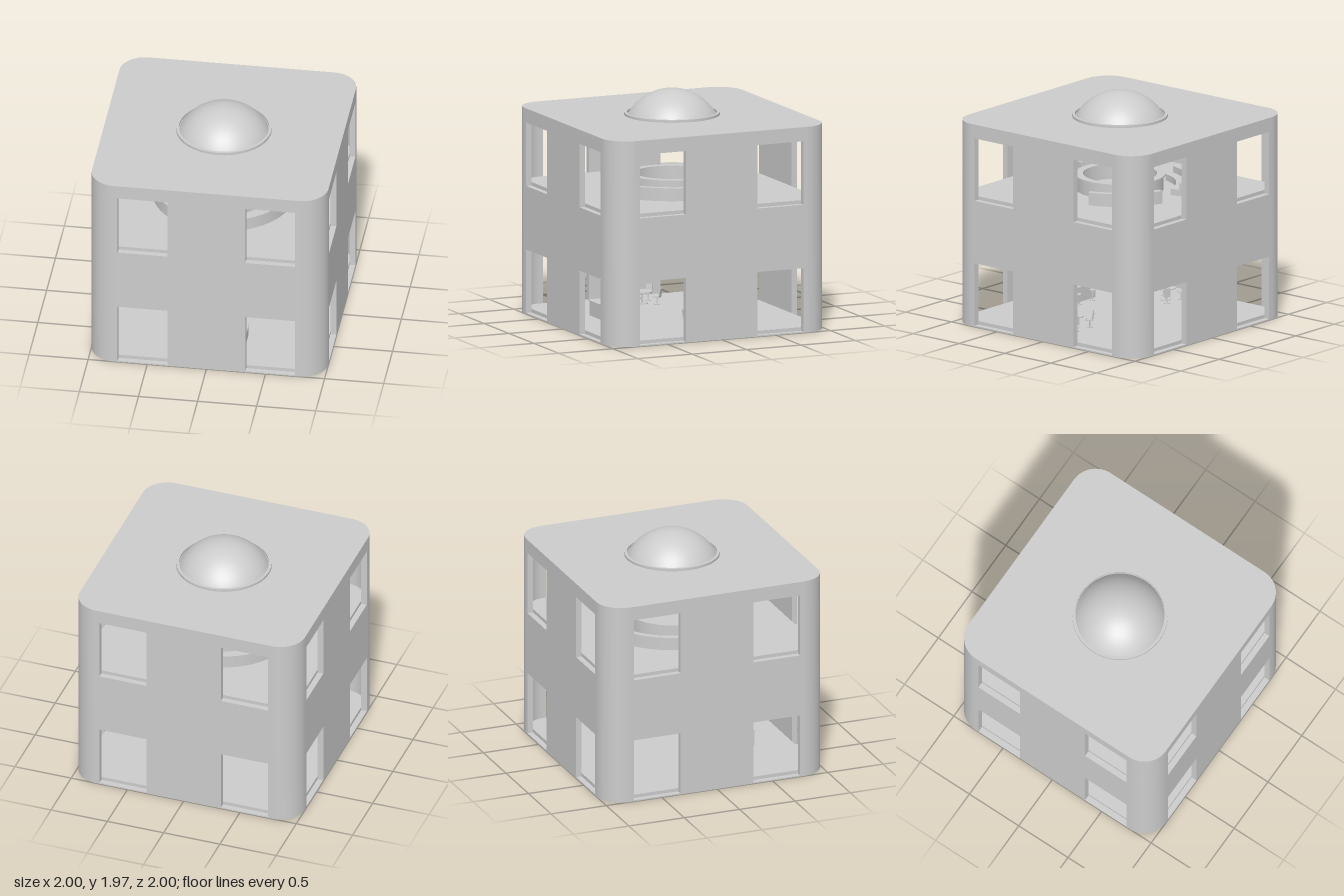
import * as THREE from 'three';
import { toCreasedNormals } from 'three/addons/utils/BufferGeometryUtils.js';

const WALL = 0.05, CORNER = 0.22, ROOF = 1.75, CEILING = 1.71;
const FLOOR = 0.04, UPPER = 1.12;
const mat = new THREE.MeshStandardMaterial({ color: 0xcccccc });
const thin = new THREE.MeshStandardMaterial({ color: 0xcccccc, side: THREE.DoubleSide });

function add(parent, name, geo, x = 0, y = 0, z = 0, material = mat) {
  const m = new THREE.Mesh(geo, material);
  m.name = name;
  m.position.set(x, y, z);
  parent.add(m);
  return m;
}

const box = (w, h, d) => new THREE.BoxGeometry(w, h, d);
const disc = (r, h, n = 24, r2 = r) => new THREE.CylinderGeometry(r, r2, h, n);

// Floor-plan shape pulled up from height y0 to y1
function raise(shape, y0, y1, segments = 16) {
  const g = new THREE.ExtrudeGeometry(shape, { depth: y1 - y0, bevelEnabled: false, curveSegments: segments });
  g.rotateX(-Math.PI / 2).translate(0, y0, 0);
  return toCreasedNormals(g, 0.6);
}

function roundedSquare(half, r) {
  const s = new THREE.Shape(), c = half - r;
  s.absarc(c, c, r, 0, Math.PI / 2);
  s.absarc(-c, c, r, Math.PI / 2, Math.PI);
  s.absarc(-c, -c, r, Math.PI, Math.PI * 1.5);
  s.absarc(c, -c, r, Math.PI * 1.5, Math.PI * 2);
  s.closePath();
  return s;
}

function arcBand(inner, outer, a0, a1) {
  const s = new THREE.Shape();
  s.absarc(0, 0, outer, a0, a1, false);
  s.absarc(0, 0, inner, a1, a0, true);
  s.closePath();
  return s;
}

function ring(inner, outer) {
  const s = new THREE.Shape().absarc(0, 0, outer, 0, Math.PI * 2);
  s.holes.push(new THREE.Path().absarc(0, 0, inner, 0, Math.PI * 2, true));
  return s;
}

// Four flat walls with window openings, joined by rounded corners
function buildWalls(group) {
  const c = 1 - CORNER;
  const panel = new THREE.Shape([[-c, 0], [c, 0], [c, CEILING], [-c, CEILING]].map(p => new THREE.Vector2(...p)));
  for (const x of [-0.75, 0.33]) for (const y of [0.01, 1.09]) {
    panel.holes.push(new THREE.Path([[x, y], [x, y + 0.54], [x + 0.42, y + 0.54], [x + 0.42, y]]
      .map(p => new THREE.Vector2(...p))));
  }
  const wallGeo = new THREE.ExtrudeGeometry(panel, { depth: WALL, bevelEnabled: false });
  wallGeo.translate(0, 0, 1 - WALL);
  const cornerGeo = raise(arcBand(CORNER - WALL, CORNER, 0, Math.PI / 2), 0, CEILING, 12);
  cornerGeo.translate(c, 0, -c);
  for (let i = 0; i < 4; i++) {
    add(group, 'windowWall', wallGeo).rotation.y = i * Math.PI / 2;
    add(group, 'roundedCorner', cornerGeo).rotation.y = i * Math.PI / 2;
  }
}

// Swivel chair facing its local -z
function buildChair() {
  const g = new THREE.Group();
  g.name = 'chair';
  add(g, 'chairBase', disc(0.026, 0.006, 16), 0, 0.003);
  add(g, 'chairStem', disc(0.005, 0.06, 8), 0, 0.033);
  add(g, 'chairSeat', box(0.055, 0.01, 0.055), 0, 0.066);
  const back = add(g, 'chairBack', box(0.055, 0.075, 0.008), 0, 0.102, 0.03);
  back.rotation.x = 0.14;
  return g;
}

// Round table with four chairs on the diagonals
function buildDiningSet(x) {
  const g = new THREE.Group();
  g.name = 'diningSet';
  g.position.set(x, FLOOR, 0);
  add(g, 'tableTop', disc(0.083, 0.007, 32), 0, 0.102);
  add(g, 'tableStem', disc(0.006, 0.1, 10), 0, 0.05);
  add(g, 'tableBase', disc(0.045, 0.006, 24), 0, 0.003);
  for (let i = 0; i < 4; i++) {
    const a = Math.PI / 4 + i * Math.PI / 2, chair = buildChair();
    chair.position.set(Math.sin(a) * 0.13, 0, Math.cos(a) * 0.13);
    chair.rotation.y = a;
    g.add(chair);
  }
  return g;
}

// Kitchen island with stools and hanging lamps
function buildKitchen() {
  const g = new THREE.Group();
  g.name = 'kitchen';
  add(g, 'islandBody', box(0.56, 0.124, 0.13), 0, 0.102, 0.565);
  add(g, 'islandTop', box(0.58, 0.008, 0.15), 0, 0.168, 0.565);
  for (const x of [-0.18, 0, 0.18]) {
    add(g, 'stoolSeat', disc(0.026, 0.012, 20), x, 0.13, 0.45);
    add(g, 'stoolStem', disc(0.005, 0.09, 8), x, 0.085, 0.45);
    add(g, 'stoolBase', disc(0.022, 0.006, 20), x, 0.043, 0.45);
    const shade = new THREE.SphereGeometry(0.024, 20, 8, 0, Math.PI * 2, 0, Math.PI / 2);
    add(g, 'lampShade', shade, x, 0.354, 0.567, thin);
    add(g, 'lampCord', disc(0.001, 0.26, 6), x, 0.5, 0.567);
  }
  return g;
}

// Four curved sofas around a round counter
function buildLounge() {
  const g = new THREE.Group();
  g.name = 'lounge';
  const gap = 0.24;
  const seat = raise(arcBand(0.47, 0.55, gap, Math.PI / 2 - gap), UPPER, 1.175);
  const back = raise(arcBand(0.55, 0.6, gap, Math.PI / 2 - gap), UPPER, 1.23);
  for (let i = 0; i < 4; i++) {
    add(g, 'sofaSeat', seat).rotation.y = i * Math.PI / 2;
    add(g, 'sofaBack', back).rotation.y = i * Math.PI / 2;
  }
  add(g, 'counterBody', raise(ring(0.33, 0.365), UPPER, 1.243, 24));
  add(g, 'counterTop', raise(ring(0.31, 0.38), 1.243, 1.255, 24));
  return g;
}

export function createModel() {
  const model = new THREE.Group();
  model.name = 'pavilion';
  buildWalls(model);

  // Floors and roof slab with a round skylight opening
  const inner = () => roundedSquare(1 - WALL, CORNER - WALL);
  add(model, 'groundFloor', raise(inner(), 0, FLOOR));
  add(model, 'upperFloor', raise(inner(), 0.63, UPPER));
  const roof = roundedSquare(1, CORNER);
  roof.holes.push(new THREE.Path().absarc(0, 0, 0.368, 0, Math.PI * 2, true));
  add(model, 'roof', raise(roof, CEILING, ROOF, 24));

  // Skylight dome and its kerb
  const R = 0.4245, rise = 0.22;
  const dome = new THREE.SphereGeometry(R, 64, 20, 0, Math.PI * 2, 0, Math.acos((R - rise) / R));
  add(model, 'skylightDome', dome, 0, ROOF + rise - R, 0, thin);
  add(model, 'skylightKerb', raise(ring(0.377, 0.4), ROOF, 1.772, 32));

  for (const s of [-1, 1]) model.add(buildDiningSet(s * 0.595));
  model.add(buildKitchen(), buildLounge());
  return model;
}
